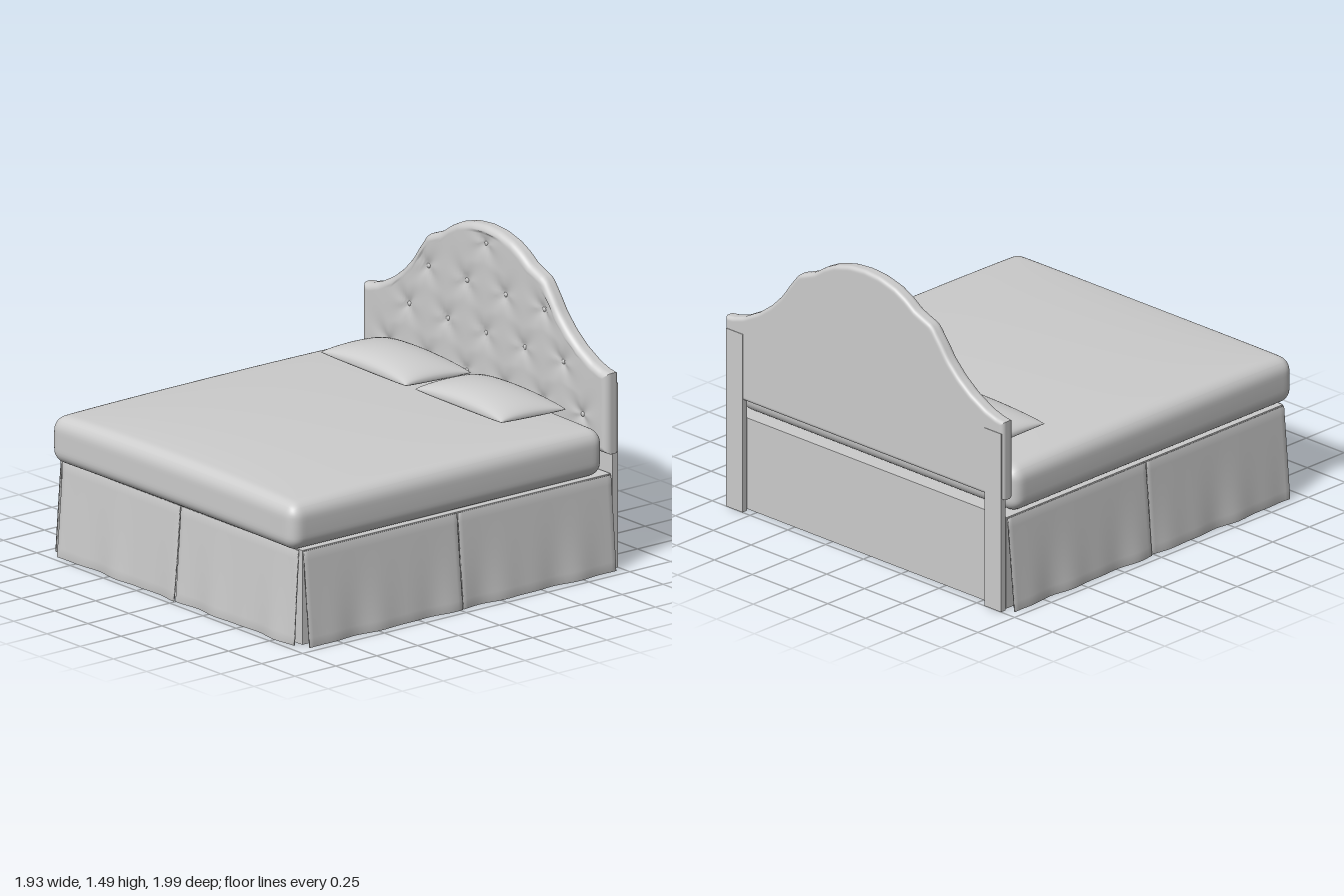
import * as THREE from 'three';
import { mergeVertices } from 'three/addons/utils/BufferGeometryUtils.js';

const fabric = new THREE.MeshStandardMaterial({ color: 0xcccccc });
fabric.name = 'grey fabric';

// Subdivided box whose vertices are moved by a rule, with smooth normals
function shapedBox(size, segments, rule) {
  let geo = new THREE.BoxGeometry(...size, ...segments);
  const pos = geo.attributes.position;
  const p = new THREE.Vector3();
  for (let i = 0; i < pos.count; i++) {
    p.fromBufferAttribute(pos, i);
    rule(p);
    pos.setXYZ(i, p.x, p.y, p.z);
  }
  geo.deleteAttribute('uv');
  geo.deleteAttribute('normal');
  geo = mergeVertices(geo, 1e-5);
  geo.computeVertexNormals();
  return geo;
}

function addMesh(parent, name, geo, x = 0, y = 0, z = 0) {
  const mesh = new THREE.Mesh(geo, fabric);
  mesh.name = name;
  mesh.position.set(x, y, z);
  parent.add(mesh);
  return mesh;
}

const ease = (t) => Math.sin((t * Math.PI) / 2);

// Mattress: rounded block with a gently domed top
function mattressGeometry() {
  const hx = 0.915, hy = 0.115, hz = 0.955, r = 0.065;
  const inner = new THREE.Vector3();
  const low = new THREE.Vector3(-hx + r, -hy + r, -hz + r);
  const high = new THREE.Vector3(hx - r, hy - r, hz - r);
  return shapedBox([2, 2, 2], [60, 14, 60], (p) => {
    p.set(ease(p.x) * hx, p.y * hy, ease(p.z) * hz);
    inner.copy(p).clamp(low, high);
    p.sub(inner).setLength(r).add(inner);
    const dome = (1 - (p.x / hx) ** 2) * (1 - (p.z / hz) ** 2);
    p.y += 0.045 * Math.sqrt(Math.max(0, dome)) * Math.max(0, p.y / hy);
    p.x *= 1 + 0.006 * (1 - (p.y / hy) ** 2);
    if (p.z > 0) p.z -= 0.012 * (1 - (p.x / hx) ** 2) * (p.z / hz) ** 4;
  });
}

// Pillow: two puffed sheets meeting at a seam with pointed corners
function pillowGeometry() {
  return shapedBox([2, 2, 2], [32, 1, 24], (p) => {
    const u = ease(p.x), v = ease(p.z);
    const puff = Math.max(0, (1 - u * u) * (1 - v * v)) ** 0.42;
    p.x = 0.33 * u * (1 - 0.03 * (1 - v * v));
    p.z = 0.195 * v * (1 - 0.05 * (1 - u * u));
    p.y = p.y > 0 ? 0.078 * puff : -0.035 * puff;
  });
}

// Headboard outline, half of it, from the centre outwards
const crest = [
  [0, 1.49], [0.1, 1.482], [0.2, 1.455], [0.27, 1.42], [0.33, 1.378], [0.39, 1.354],
  [0.44, 1.335], [0.5, 1.26], [0.55, 1.19], [0.62, 1.12], [0.7, 1.06], [0.8, 1.007],
  [0.87, 0.985], [0.93, 0.977],
];
function crestHeight(x) {
  const a = Math.abs(x);
  let i = 0;
  while (i < crest.length - 2 && crest[i + 1][0] < a) i++;
  const [x0, y0] = crest[i], [x1, y1] = crest[i + 1];
  return y0 + ((y1 - y0) * (a - x0)) / (x1 - x0);
}

// Tufting points in a diamond pattern
const tufts = [[0, 1.4]];
for (const s of [-1, 1]) {
  for (const y of [1.18, 0.73]) for (const x of [0.145, 0.435]) tufts.push([s * x, y]);
  tufts.push([s * 0.29, 0.955], [s * 0.58, 0.955], [s * 0.725, 0.73]);
}
tufts.push([0, 0.955]);

function tuftDepth(x, y) {
  let depth = 0;
  for (const [tx, ty] of tufts) {
    const d = Math.hypot(x - tx, y - ty);
    const angle = Math.atan2(y - ty, x - tx);
    const reach = 0.03 + 0.03 * Math.sin(2 * angle) ** 2;
    depth = Math.max(depth, 0.024 * Math.exp(-d / reach));
  }
  return depth;
}

function headboardGeometry() {
  const half = 0.92, bottom = 0.575;
  return shapedBox([2, 2, 2], [130, 84, 2], (p) => {
    const side = p.z;
    const x = half * ease(p.x);
    const top = crestHeight(x);
    const y = bottom + (top - bottom) * (ease(p.y) * 0.5 + 0.5);
    const slope = (crestHeight(x + 0.01) - crestHeight(x - 0.01)) / 0.02;
    const edge = Math.min(half - Math.abs(x), y - bottom, (top - y) / Math.hypot(1, slope));
    const r = side > 0 ? 0.035 : 0.02;
    const gap = Math.max(0, r - edge);
    const round = r - Math.sqrt(Math.max(0, r * r - gap * gap));
    let z = -0.958;
    if (side > 0) z = -0.918 - round - (edge > r ? tuftDepth(x, y) : 0);
    if (side < 0) z = -0.997 + round;
    p.set(x, y, z);
  });
}

// Skirt panel: thin cloth hanging from its top edge, flaring and rippling
function skirtGeometry(width, flare, phase) {
  return shapedBox([width, 0.468, 0.008], [36, 10, 1], (p) => {
    const drop = 0.5 - p.y / 0.468;
    const ripple = Math.sin(p.x * 15 + phase) + 0.6 * Math.sin(p.x * 27 + phase * 2);
    p.z += drop * flare + drop * drop * 0.006 * ripple;
  });
}

export function createModel() {
  const bed = new THREE.Group();
  bed.name = 'bed';

  addMesh(bed, 'base', new THREE.BoxGeometry(1.81, 0.47, 1.885), 0, 0.239, -0.0175);
  addMesh(bed, 'mattress', mattressGeometry(), 0, 0.588, 0.038);

  // Pillows
  const pillow = pillowGeometry();
  const places = [['rightPillow', -0.385, -0.695], ['leftPillow', 0.34, -0.685]];
  for (const [name, x, z] of places) {
    const mesh = addMesh(bed, name, pillow, x, 0.758, z);
    mesh.rotation.set(-0.03, x < 0 ? -0.025 : -0.015, 0);
  }

  // Headboard with buttons and rear legs
  const headboard = new THREE.Group();
  headboard.name = 'headboard';
  bed.add(headboard);
  addMesh(headboard, 'headboardPanel', headboardGeometry());
  const button = new THREE.SphereGeometry(0.013, 14, 10);
  button.scale(1, 1, 0.6);
  for (const [x, y] of tufts) addMesh(headboard, 'button', button, x, y, -0.938);
  const leg = new THREE.BoxGeometry(0.11, 0.92, 0.032);
  for (const s of [-1, 1]) addMesh(headboard, 'headboardLeg', leg, s * 0.855, 0.46, -0.984);

  // Skirt: two panels on the foot end and two on each side
  const skirt = new THREE.Group();
  skirt.name = 'skirt';
  bed.add(skirt);
  for (const s of [-1, 1]) {
    addMesh(skirt, 'frontSkirt', skirtGeometry(0.88, 0.03, 2 + s), s * 0.445, 0.236, 0.931);
    for (const [z, phase] of [[0.455, 0.5], [-0.487, 3]]) {
      const panel = addMesh(skirt, 'sideSkirt', skirtGeometry(0.935, 0.042, phase + s), s * 0.911, 0.236, z);
      panel.rotation.y = (s * Math.PI) / 2;
    }
  }
  return bed;
}
